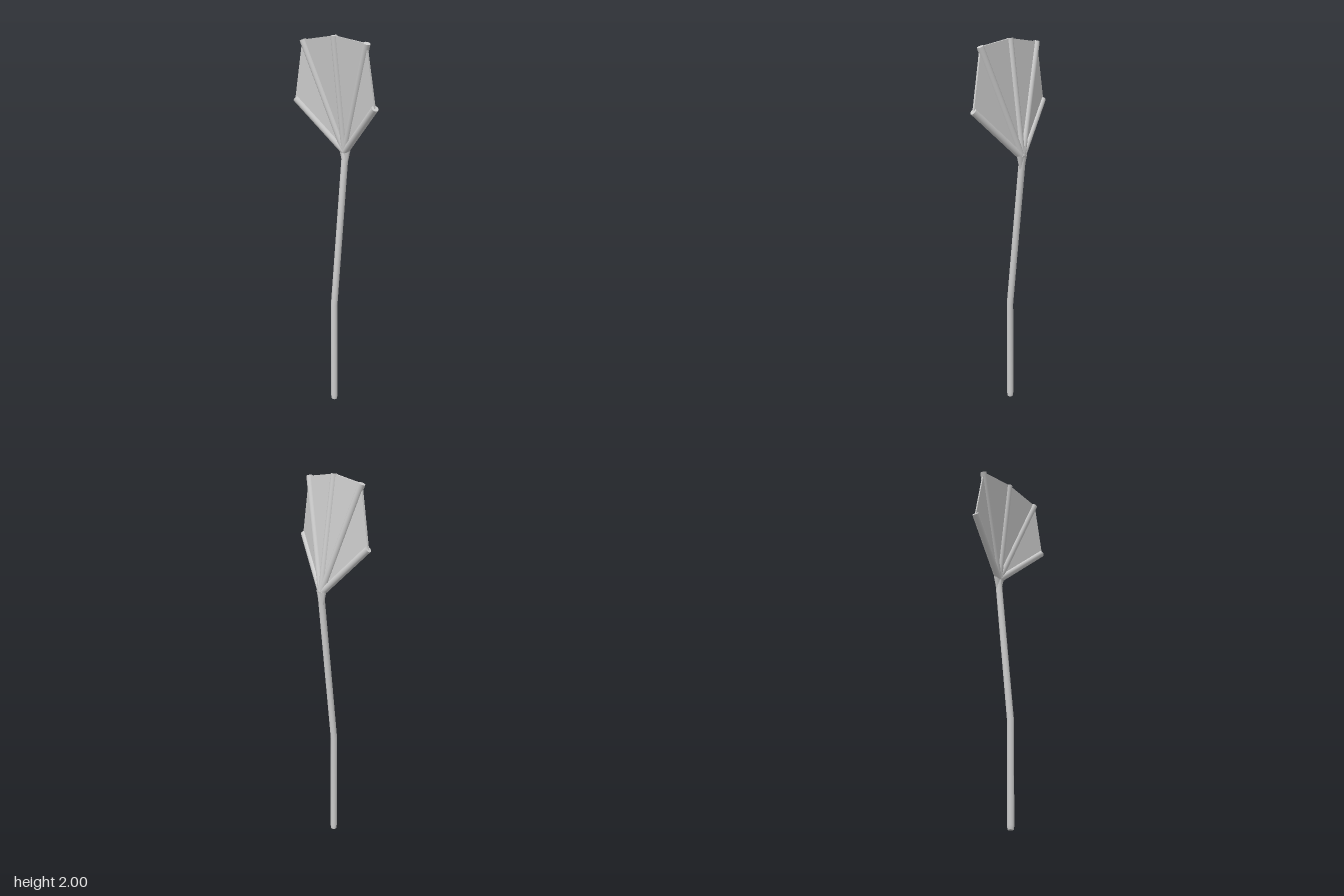
import * as THREE from 'three';

const material = new THREE.MeshStandardMaterial({ color: 0xcccccc });
const sheetMaterial = new THREE.MeshStandardMaterial({ color: 0xcccccc, flatShading: true, side: THREE.DoubleSide });
const R = 0.018;
const V = (x, y, z) => new THREE.Vector3(x, y, z);

function add(group, name, geometry, mat = material) {
  const mesh = new THREE.Mesh(geometry, mat);
  mesh.name = name;
  group.add(mesh);
  return mesh;
}

// Round bar running from point a to point b
function bar(group, name, a, b) {
  const dir = b.clone().sub(a);
  const mesh = add(group, name, new THREE.CylinderGeometry(R, R, dir.length(), 16));
  mesh.position.copy(a).add(b).multiplyScalar(0.5);
  mesh.quaternion.setFromUnitVectors(V(0, 1, 0), dir.normalize());
}

// Triangular web of small thickness between two ribs
function web(group, name, corners) {
  const t = 0.005;
  const p = [...corners.map(c => [c.x, c.y, c.z + t]), ...corners.map(c => [c.x, c.y, c.z - t])];
  const geometry = new THREE.BufferGeometry();
  geometry.setAttribute('position', new THREE.Float32BufferAttribute(p.flat(), 3));
  const index = [0, 1, 2, 3, 5, 4];
  for (let i = 0; i < 3; i++) {
    const j = (i + 1) % 3;
    index.push(i, i + 3, j, j, i + 3, j + 3);
  }
  geometry.setIndex(index);
  const flat = geometry.toNonIndexed();
  flat.computeVertexNormals();
  add(group, name, flat, sheetMaterial);
}

export function createModel() {
  const model = new THREE.Group();
  model.name = 'fanRake';

  // Bent handle: a lathed rod whose rings slide in z with height
  const profile = [[0, 0], [0.015, 0], [0.015, 0], [R, 0.02], [R, 0.565], [R, 1.37], [R, 1.42], [0, 1.42]];
  const rod = new THREE.LatheGeometry(profile.map(([r, y]) => new THREE.Vector2(r, y)), 16);
  const pos = rod.attributes.position;
  for (let i = 0; i < pos.count; i++) {
    const k = THREE.MathUtils.clamp((pos.getY(i) - 0.565) / (1.37 - 0.565), 0, 1);
    pos.setZ(i, pos.getZ(i) + 0.04 - 0.082 * k);
  }
  rod.computeVertexNormals();
  add(model, 'handle', rod);

  // Flattened socket where the ribs meet the handle
  const socket = add(model, 'socket', new THREE.CylinderGeometry(0.036, R, 0.07, 16));
  socket.scale.z = 0.52;
  socket.position.set(0, 1.375, -0.042);

  // Five ribs fanning up and forward
  const root = V(0, 1.4, -0.042);
  const tips = [
    V(-0.28, 1.662, 0.04), V(-0.222, 1.968, 0.04), V(0, 1.997, 0.038),
    V(0.222, 1.968, 0.04), V(0.28, 1.662, 0.04),
  ];
  tips.forEach((tip, i) => bar(model, 'rib' + (i + 1), root, tip));

  // Webs filling the gaps between neighbouring ribs
  for (let i = 0; i < 4; i++) {
    web(model, 'web' + (i + 1), [root, tips[i + 1], tips[i]]);
  }
  return model;
}
